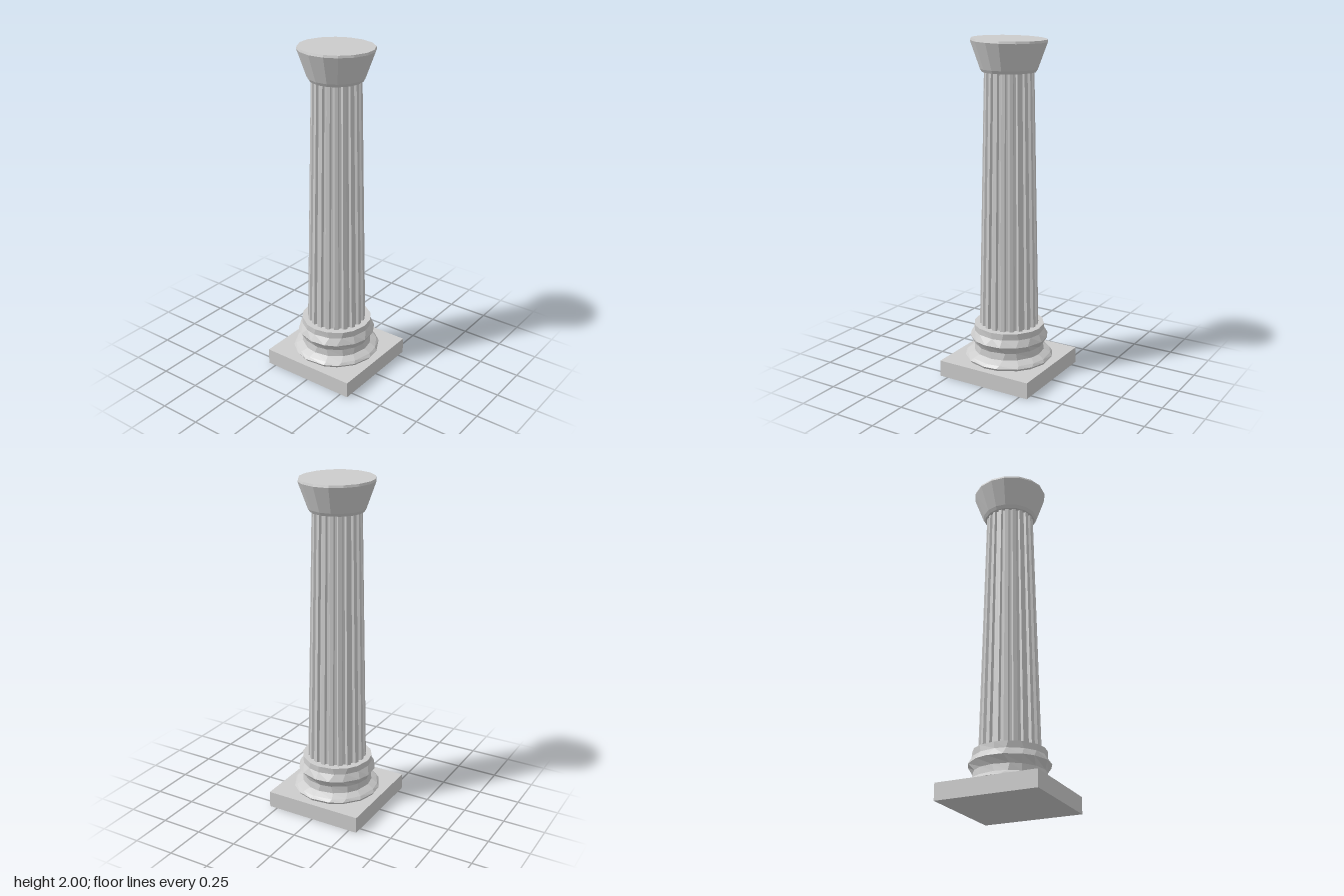
import * as THREE from 'three';

// Closed solid through stacked rings; each ring is an array of [x, y, z].
function skinRings(rings, material, name) {
  const n = rings[0].length;
  const pos = [];
  const tri = (a, b, c) => pos.push(...a, ...b, ...c);
  const centre = (ring) => [0, 1, 2].map((k) => ring.reduce((s, p) => s + p[k], 0) / n);
  for (let j = 0; j < rings.length - 1; j++) {
    const lo = rings[j], hi = rings[j + 1];
    for (let i = 0; i < n; i++) {
      const k = (i + 1) % n;
      tri(lo[i], hi[i], hi[k]);
      tri(lo[i], hi[k], lo[k]);
    }
  }
  const bottom = rings[0], top = rings[rings.length - 1];
  const cb = centre(bottom), ct = centre(top);
  for (let i = 0; i < n; i++) {
    const k = (i + 1) % n;
    tri(cb, bottom[i], bottom[k]);
    tri(ct, top[k], top[i]);
  }
  const geo = new THREE.BufferGeometry();
  geo.setAttribute('position', new THREE.Float32BufferAttribute(pos, 3));
  geo.computeVertexNormals();
  const mesh = new THREE.Mesh(geo, material);
  mesh.name = name;
  return mesh;
}

// Round ring with a phase in steps and a small hand-hewn wobble.
function roundRing(r, y, sides, phase = 0, wobble = 0) {
  return Array.from({ length: sides }, (_, i) => {
    const a = ((i + phase + wobble * Math.sin(i * 2.3 + y * 40)) / sides) * Math.PI * 2;
    return [r * Math.cos(a), y, r * Math.sin(a)];
  });
}

// Fluted ring: flat ridges between flat-bottomed grooves.
function flutedRing(r, y, flutes) {
  const depth = r * 0.09;
  const section = [[-0.22, 0], [0.22, 0], [0.36, depth], [0.64, depth]];
  const ring = [];
  for (let i = 0; i < flutes; i++) {
    for (const [t, d] of section) {
      const a = ((i + t) / flutes) * Math.PI * 2;
      ring.push([(r - d) * Math.cos(a), y, (r - d) * Math.sin(a)]);
    }
  }
  return ring;
}

export function createModel() {
  const model = new THREE.Group();
  model.name = 'column';
  const stone = new THREE.MeshStandardMaterial({ color: 0xcccccc });
  stone.name = 'pale grey stone';
  stone.flatShading = true;

  // Square plinth
  const plinth = new THREE.Mesh(new THREE.BoxGeometry(0.6, 0.098, 0.6), stone);
  plinth.name = 'plinth';
  plinth.position.y = 0.049;
  model.add(plinth);

  // Moulded base: radius, height, phase
  const base = [
    [0.255, 0.098, 0.25], [0.264, 0.112, 0.25], [0.25, 0.127, 0.1],
    [0.212, 0.147, 0], [0.208, 0.188, 0], [0.234, 0.232, 0.25],
    [0.211, 0.272, 0], [0.211, 0.31, 0],
  ];
  model.add(skinRings(base.map(([r, y, p]) => roundRing(r, y, 16, p, 0.12)), stone, 'mouldedBase'));

  // Tapering fluted shaft
  model.add(skinRings([flutedRing(0.176, 0.3, 20), flutedRing(0.142, 1.82, 20)], stone, 'flutedShaft'));

  // Flared capital, its top tilted slightly down towards the back
  const capital = [[0.154, 1.81], [0.165, 1.828], [0.22, 1.982], [0.216, 1.995]];
  const rings = capital.map(([r, y]) => roundRing(r, y, 16, 0.25, 0.05));
  for (const ring of rings.slice(2)) for (const p of ring) p[1] += 0.024 * p[2];
  model.add(skinRings(rings, stone, 'capital'));

  return model;
}
